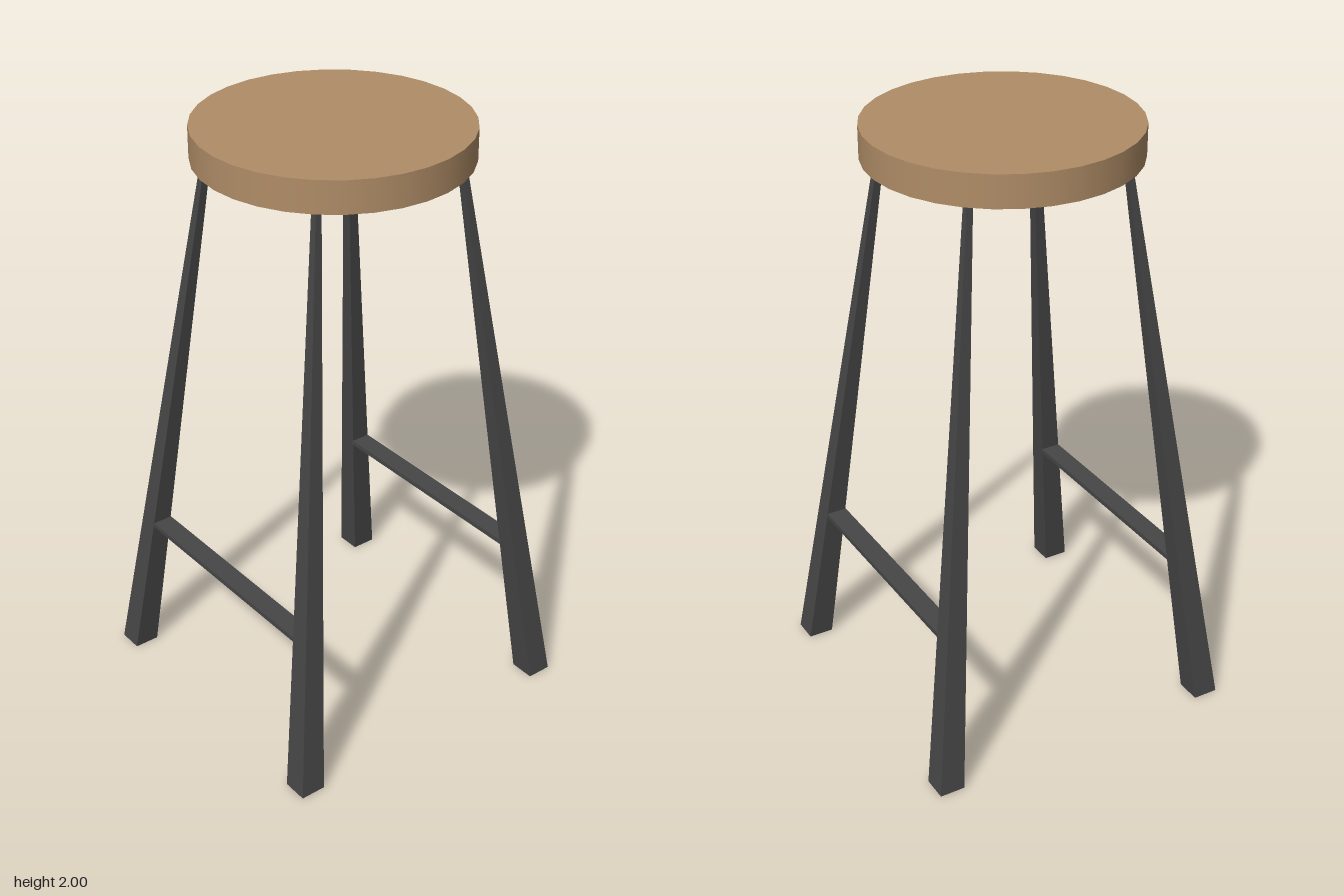
import * as THREE from 'three';

const SEAT_BOTTOM = 1.895;

const wood = new THREE.MeshStandardMaterial({ color: 0xb08d67 });
wood.name = 'wood';
const metal = new THREE.MeshStandardMaterial({ color: 0x464646 });
metal.name = 'dark metal';

function box(name, w, h, d, x, y, z) {
  const mesh = new THREE.Mesh(new THREE.BoxGeometry(w, h, d), metal);
  mesh.name = name;
  mesh.position.set(x, y, z);
  return mesh;
}

// Splayed leg that tapers from a wide foot to a thin top
function leg(sx, sz) {
  const geo = new THREE.BoxGeometry(1, 1, 1);
  const p = geo.attributes.position;
  for (let i = 0; i < p.count; i++) {
    const top = p.getY(i) > 0;
    const half = top ? 0.0105 : 0.0425;
    const cx = top ? 0.2725 : 0.49;
    const cz = top ? 0.2725 : 0.495;
    p.setXYZ(
      i,
      sx * cx + Math.sign(p.getX(i)) * half,
      top ? SEAT_BOTTOM : 0,
      sz * cz + Math.sign(p.getZ(i)) * half
    );
  }
  const flat = geo.toNonIndexed();
  flat.computeVertexNormals();
  const mesh = new THREE.Mesh(flat, metal);
  mesh.name = (sz > 0 ? 'front' : 'back') + (sx > 0 ? 'Left' : 'Right') + 'Leg';
  return mesh;
}

export function createModel() {
  const stool = new THREE.Group();
  stool.name = 'stool';

  // Round seat
  const seat = new THREE.Mesh(new THREE.CylinderGeometry(0.435, 0.435, 2 - SEAT_BOTTOM, 32), wood);
  seat.name = 'seat';
  seat.position.y = (2 + SEAT_BOTTOM) / 2;
  stool.add(seat);

  for (const s of [1, -1]) {
    // Legs
    stool.add(leg(1, s), leg(-1, s));

    // Flat footrests at the front and back
    stool.add(box(s > 0 ? 'frontFootrest' : 'backFootrest', 0.81, 0.016, 0.069, 0, 0.521, s * 0.432));

    // Square frame under the seat
    stool.add(box(s > 0 ? 'frontFrameBar' : 'backFrameBar', 0.545, 0.016, 0.021, 0, SEAT_BOTTOM - 0.008, s * 0.2725));
    stool.add(box(s > 0 ? 'leftFrameBar' : 'rightFrameBar', 0.021, 0.016, 0.545, s * 0.2725, SEAT_BOTTOM - 0.008, 0));
  }
  return stool;
}
